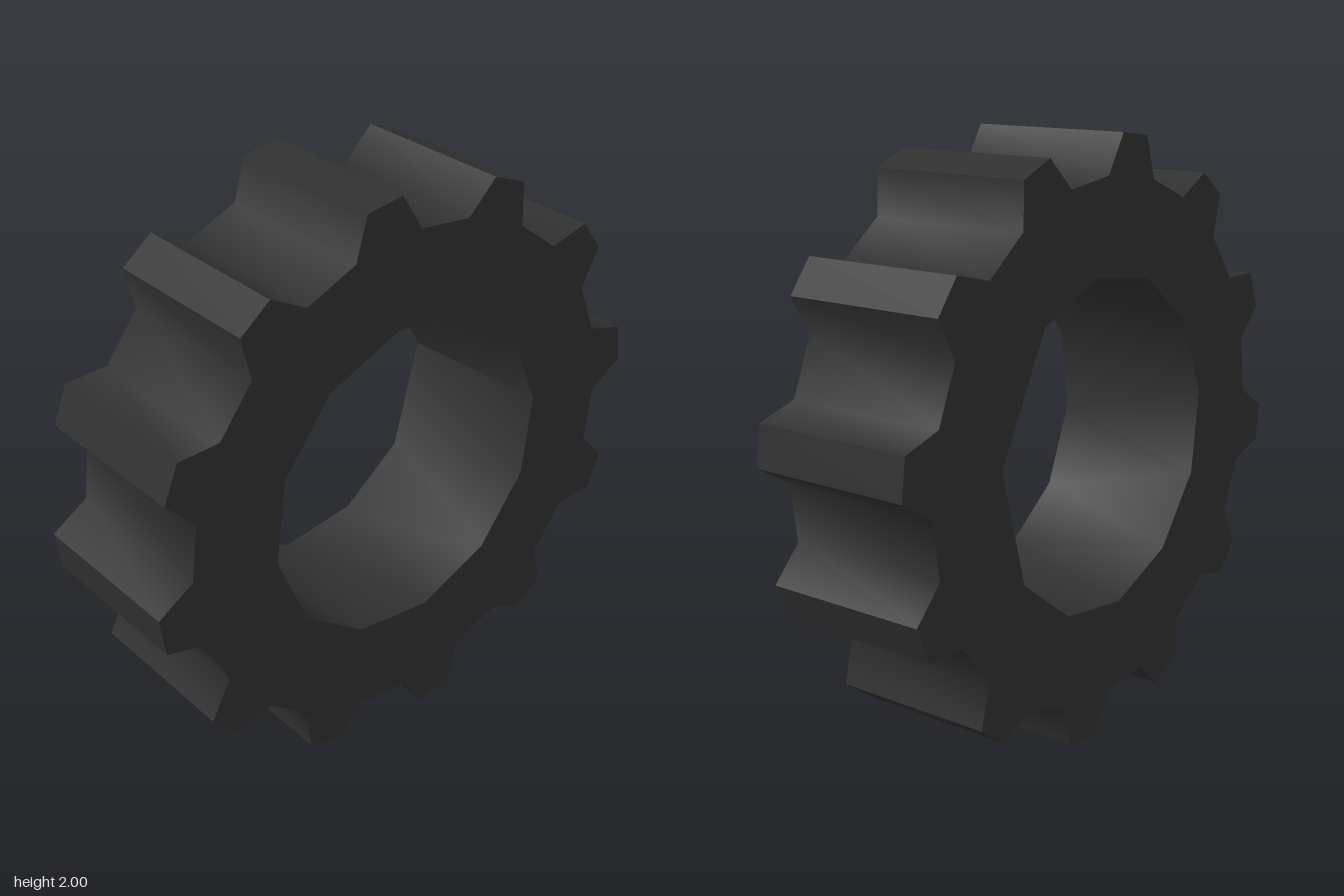
import * as THREE from 'three';

const TEETH = 12;
const STEP = 360 / TEETH;
const TIP_R = 1.002, ROOT_R = 0.873, HOLE_R = 0.565;
const HALF_DEPTH = 0.285;

const polar = (r, deg) => {
  const a = THREE.MathUtils.degToRad(deg);
  return new THREE.Vector2(r * Math.cos(a), r * Math.sin(a));
};

// Indexed geometry with smooth normals: front points first, then back points
function wallGeometry(front, back, index) {
  const pos = [];
  front.forEach((p) => pos.push(p.x, p.y, HALF_DEPTH));
  back.forEach((p) => pos.push(p.x, p.y, -HALF_DEPTH));
  const geo = new THREE.BufferGeometry();
  geo.setAttribute('position', new THREE.Float32BufferAttribute(pos, 3));
  geo.setIndex(index);
  geo.computeVertexNormals();
  return geo;
}

// Straight outward-facing strip along an open counter-clockwise path
function stripGeometry(points) {
  const n = points.length, index = [];
  for (let i = 0; i < n - 1; i++) {
    index.push(i, n + i, i + 1, i + 1, n + i, n + i + 1);
  }
  return wallGeometry(points, points, index);
}

export function createModel() {
  const group = new THREE.Group();
  group.name = 'gear';
  const body = new THREE.Group();
  body.name = 'gearBody';
  body.position.y = 1;
  group.add(body);

  const material = new THREE.MeshStandardMaterial({ color: 0x303030 });
  const add = (name, geometry) => {
    const mesh = new THREE.Mesh(geometry, material);
    mesh.name = name;
    body.add(mesh);
    return mesh;
  };

  // Toothed outline, with tooth tips and smooth grooves as side walls
  const outline = [];
  for (let i = 0; i < TEETH; i++) {
    const mid = 7.5 + i * STEP;
    const tip = [polar(TIP_R, mid - 3.9), polar(TIP_R, mid + 3.9)];
    const groove = [
      tip[1],
      polar(ROOT_R, mid + 8.5),
      polar(ROOT_R, mid + STEP - 8.5),
      polar(TIP_R, mid + STEP - 3.9),
    ];
    outline.push(polar(ROOT_R, mid - 8.5), ...tip, groove[1]);
    add('toothTip', stripGeometry(tip));
    add('toothGroove', stripGeometry(groove));
  }

  // Bore: the rear polygon is turned half a step, two of its corners merged
  const frontHole = [], backHole = [];
  for (let i = 0; i < TEETH; i++) {
    frontHole.push(polar(HOLE_R, 7.5 + i * STEP));
    const merged = i === 0 || i === TEETH - 1;
    backHole.push(merged ? polar(0.558, 5) : polar(HOLE_R, 22.5 + i * STEP));
  }
  const index = [];
  for (let i = 0; i < TEETH; i++) {
    const j = (i + 1) % TEETH;
    index.push(i, j, TEETH + i);
    if (j !== 0) index.push(j, TEETH + j, TEETH + i); // merged corners need no triangle
  }
  add('boreWall', wallGeometry(frontHole, backHole, index));

  // Flat faces
  const face = (points, hole) => {
    const shape = new THREE.Shape(points);
    shape.holes.push(new THREE.Path(hole));
    return new THREE.ShapeGeometry(shape);
  };
  add('frontFace', face(outline, frontHole)).position.z = HALF_DEPTH;

  const mirror = (points) => points.map((p) => new THREE.Vector2(-p.x, p.y));
  const backFace = add('backFace', face(mirror(outline), mirror(backHole.slice(0, -1))));
  backFace.rotation.y = Math.PI;
  backFace.position.z = -HALF_DEPTH;

  return group;
}
